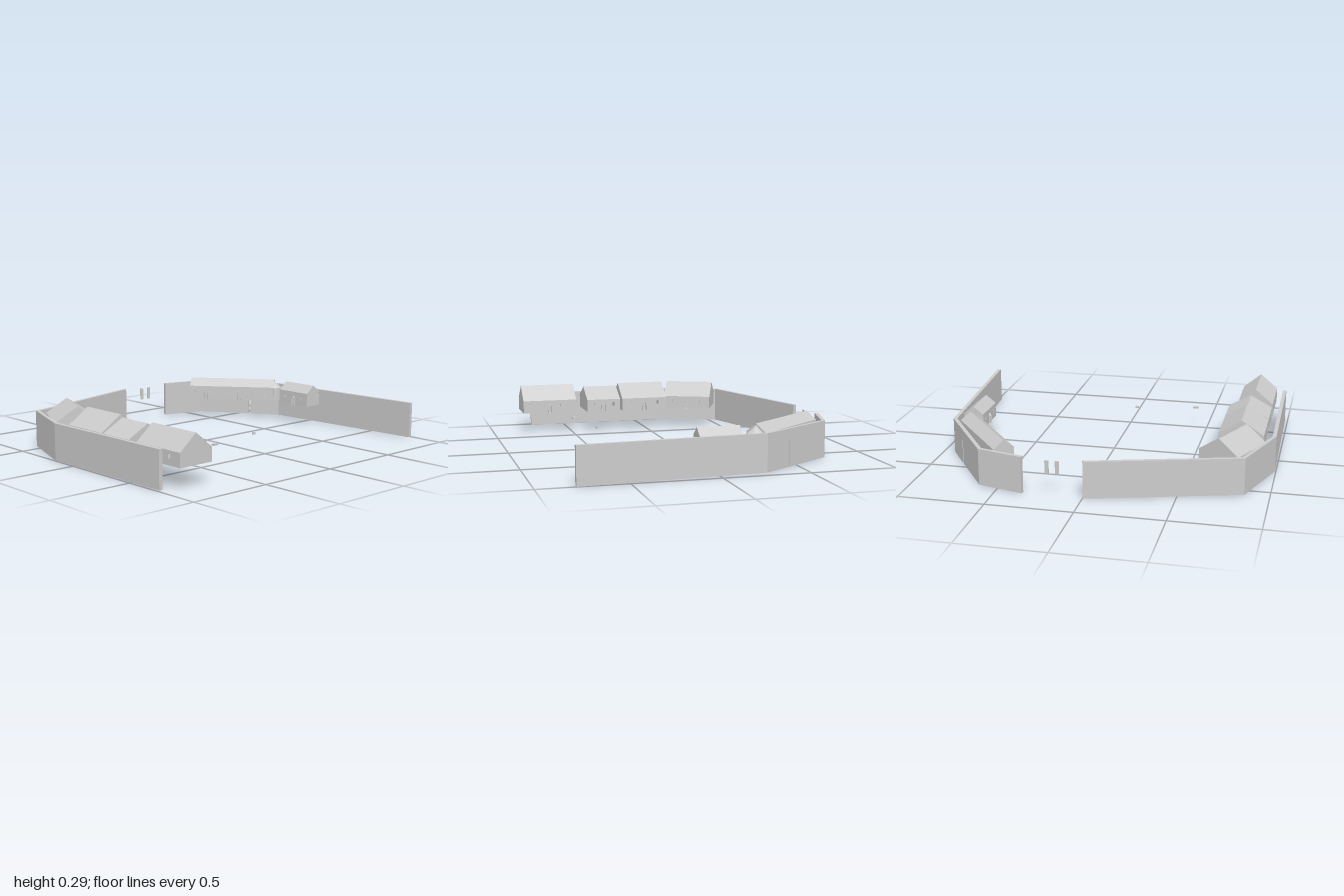
import * as THREE from 'three';

const mat = new THREE.MeshStandardMaterial({ color: 0xcccccc, flatShading: true, side: THREE.DoubleSide });
const FLOOR = 0.12, T = 0.006;

function add(parent, name, geometry) {
  const mesh = new THREE.Mesh(geometry, mat);
  mesh.name = name;
  parent.add(mesh);
  return mesh;
}

function box(parent, name, w, h, d, x, y, z) {
  add(parent, name, new THREE.BoxGeometry(w, h, d)).position.set(x, y, z);
}

const extrude = (shape, depth) =>
  new THREE.ExtrudeGeometry(shape, { depth, bevelEnabled: false, curveSegments: 6 });
const polygon = pts => new THREE.Shape(pts.map(p => new THREE.Vector2(p[0], p[1])));

// Round-topped opening, used for doors, windows and door frames
function arch(Type, x, y, w, h) {
  const r = w / 2, a = new Type();
  a.moveTo(x - r, y);
  a.lineTo(x + r, y);
  a.lineTo(x + r, y + h - r);
  a.absarc(x, y + h - r, r, 0, Math.PI, false);
  a.lineTo(x - r, y);
  return a;
}

// Upright prism over a ground outline of [x, z] points
function prism(parent, name, pts, y0, y1) {
  const g = extrude(polygon(pts.map(([x, z]) => [x, -z])), y1 - y0);
  g.rotateX(-Math.PI / 2);
  add(parent, name, g).position.y = y0;
}

// Enclosing wall along a path, with mitred corners and an optional slit {seg, at}
function rampart(parent, name, path, slit) {
  const H = 0.215, half = 0.011;
  const pts = path.map(p => new THREE.Vector2(p[0], p[1]));
  const normal = i => {
    const d = pts[i + 1].clone().sub(pts[i]).normalize();
    return new THREE.Vector2(-d.y, d.x);
  };
  const sides = pts.map((p, i) => {
    const a = normal(Math.max(i - 1, 0)), b = normal(Math.min(i, pts.length - 2));
    const m = a.clone().add(b).normalize();
    m.multiplyScalar(half / m.dot(a));
    return [p.clone().add(m), p.clone().sub(m)];
  });
  for (let i = 0; i < pts.length - 1; i++) {
    const [a, b] = [sides[i], sides[i + 1]];
    const piece = (t0, t1, y0) => {
      const c = (s, t) => a[s].clone().lerp(b[s], t).toArray();
      prism(parent, name, [c(0, t0), c(0, t1), c(1, t1), c(1, t0)], y0, H);
    };
    if (slit && slit.seg === i) {
      piece(0, slit.at - 0.012, 0);
      piece(slit.at - 0.012, slit.at + 0.012, 0.15);
      piece(slit.at + 0.012, 1, 0);
    } else piece(0, 1, 0);
  }
}

// Open-bottomed gabled house; its door side is local +z
function house(parent, o) {
  const { name, x, z, L, W, ridge, turn, eave = 0.2, doors = [0], windows = [-0.3, 0.3], rear = [-0.25, 0.25] } = o;
  const g = new THREE.Group();
  g.name = name;
  g.position.set(x, FLOOR, z);
  g.rotation.y = turn;
  parent.add(g);
  const e = eave - FLOOR, r = ridge - FLOOR, hw = W / 2, hl = L / 2;

  // Long walls with their openings
  const longWall = (label, doorList, windowList, zPos) => {
    const s = polygon([[-hl, 0], [hl, 0], [hl, e - T], [-hl, e - T]]);
    for (const d of doorList) s.holes.push(arch(THREE.Path, d * L, 0.002, 0.02, 0.05));
    for (const w of windowList) s.holes.push(arch(THREE.Path, w * L, 0.036, 0.012, 0.026));
    add(g, label, extrude(s, T)).position.z = zPos;
  };
  longWall('frontWall', doors, windows, hw - T);
  longWall('rearWall', [], rear, -hw);

  // Door surrounds standing proud of the wall
  for (const d of doors) {
    const s = arch(THREE.Shape, d * L, -0.004, 0.028, 0.06);
    s.holes.push(arch(THREE.Path, d * L, 0, 0.02, 0.052));
    add(g, 'doorFrame', extrude(s, 0.011)).position.z = hw - 0.001;
  }

  // Gable ends
  for (const side of [-1, 1]) {
    const s = polygon([[-hw, 0], [hw, 0], [hw, e - T], [0, r - T], [-hw, e - T]]);
    const geo = extrude(s, T);
    geo.rotateY(Math.PI / 2);
    add(g, 'gable', geo).position.x = side > 0 ? hl - T : -hl;
  }

  // Pitched roof
  const roof = extrude(polygon([[-hw, e], [-hw, e - T], [0, r - T], [hw, e - T], [hw, e], [0, r]]), L + 0.002);
  roof.rotateY(Math.PI / 2);
  add(g, 'roof', roof).position.x = -hl - 0.001;
  return g;
}

export function createModel() {
  const model = new THREE.Group();
  model.name = 'walledCourtyard';

  // Two stretches of enclosing wall
  rampart(model, 'frontRampart', [[-0.8, 0], [-0.555, 0.85], [-0.175, 0.983], [0.72, 0.973]]);
  rampart(model, 'backRampart', [[-0.8, -0.345], [-0.73, -0.61], [-0.27, -0.92], [0.785, -0.989]],
    { seg: 1, at: 0.63 });

  // Row of houses along the front wall, doors facing the courtyard
  house(model, { name: 'cornerHouse', x: -0.333, z: 0.76, L: 0.305, W: 0.257, ridge: 0.285, turn: Math.PI - 0.42 });
  house(model, { name: 'wideHouse', x: 0.008, z: 0.787, L: 0.3, W: 0.265, ridge: 0.288, turn: Math.PI });
  house(model, { name: 'narrowHouse', x: 0.284, z: 0.787, L: 0.218, W: 0.265, ridge: 0.272, turn: Math.PI });
  house(model, { name: 'endHouse', x: 0.633, z: 0.81, L: 0.345, W: 0.217, ridge: 0.29, turn: Math.PI, windows: [-0.36, -0.18, 0.18, 0.36] });

  // Long hall with a rounded apse at its end
  const hall = house(model, {
    name: 'hall', x: -0.46, z: -0.66, L: 0.562, W: 0.122, ridge: 0.255, eave: 0.208, turn: 0.672,
    doors: [-0.31, 0.09], windows: [-0.43, -0.165, -0.02, 0.26, 0.4], rear: [],
  });
  const apseWall = new THREE.CylinderGeometry(0.047, 0.047, 0.083, 14, 1, true, 0, Math.PI);
  add(hall, 'apseWall', apseWall).position.set(0.281, 0.0415, 0);
  const apseRoof = new THREE.ConeGeometry(0.049, 0.04, 14, 1, true, 0, Math.PI);
  add(hall, 'apseRoof', apseRoof).position.set(0.281, 0.103, 0);

  // Small house by the back wall
  house(model, { name: 'smallHouse', x: -0.02, z: -0.85, L: 0.24, W: 0.12, ridge: 0.253, eave: 0.205, turn: 0, rear: [] });

  // Loose gate panels in the wall opening and small blocks in the yard
  for (const z of [-0.143, -0.202]) box(model, 'gatePanel', 0.003, 0.075, 0.024, -0.8, 0.166, z);
  box(model, 'smallBlock', 0.012, 0.012, 0.02, 0.457, 0.122, 0.05);
  box(model, 'largeBlock', 0.02, 0.01, 0.034, 0.528, 0.124, 0.422);
  return model;
}
